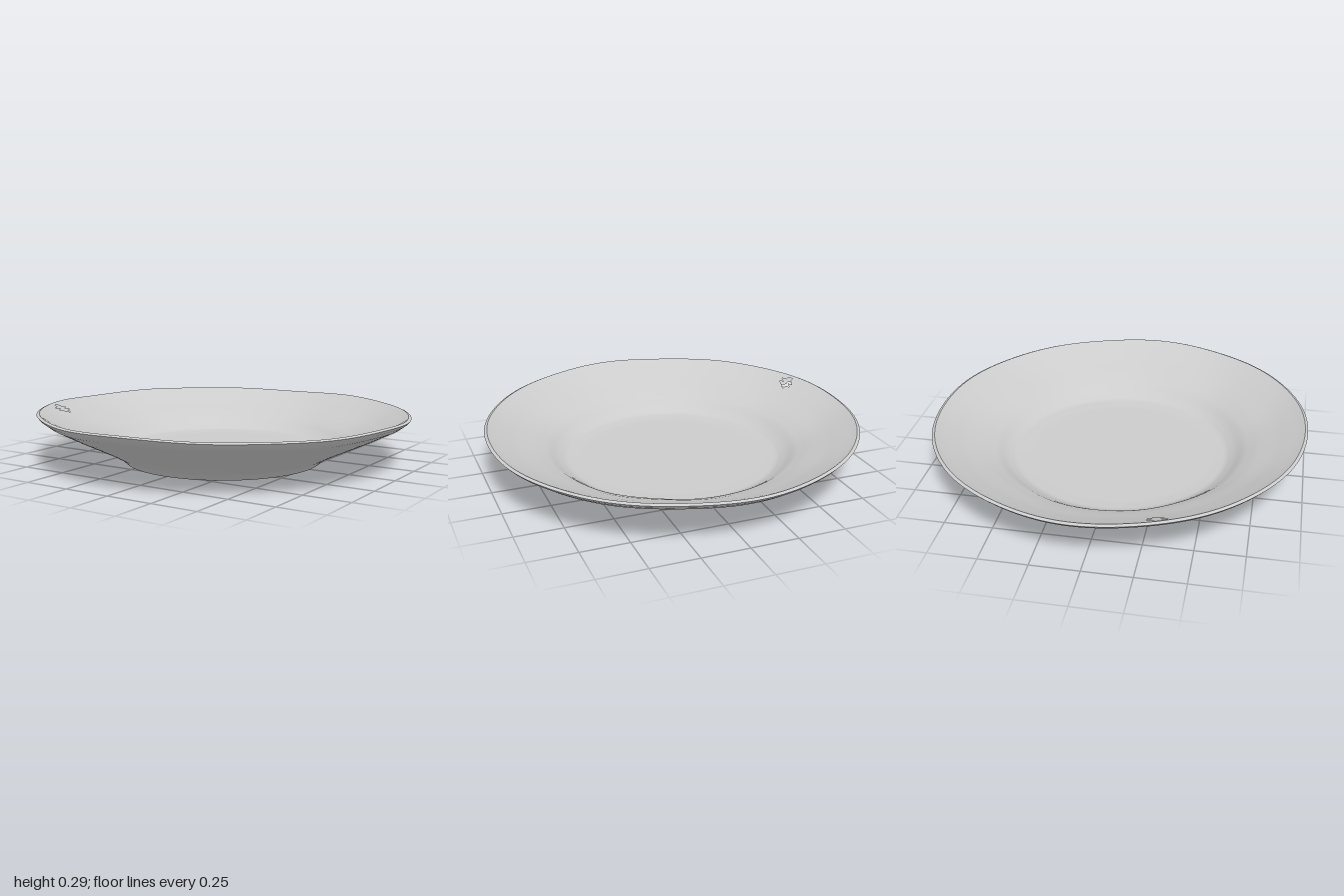
import * as THREE from 'three';
import { toCreasedNormals } from 'three/addons/utils/BufferGeometryUtils.js';

const material = new THREE.MeshStandardMaterial({ color: 0xcccccc, side: THREE.DoubleSide });

// Half section of the dish as [radius, height], from the underside outward,
// over the lip and down to the middle of the floor
const SECTION = [
  [0, 0.03], [0.47, 0.03], [0.505, 0.004], [0.53, 0.004], [0.57, 0.038], [0.64, 0.075],
  [0.83, 0.163], [0.95, 0.222], [0.985, 0.247], [1, 0.264], [0.985, 0.271],
  [0.95, 0.252], [0.84, 0.2], [0.74, 0.159], [0.67, 0.125], [0.62, 0.088], [0.575, 0.064],
  [0.5, 0.058], [0, 0.056],
];

// Split long steps so the surface can be worn and pierced evenly
function refine(section, step) {
  const points = [];
  section.forEach(([r, y], i) => {
    if (i > 0) {
      const [r0, y0] = section[i - 1];
      const n = Math.ceil(Math.hypot(r - r0, y - y0) / step);
      for (let k = 1; k < n; k++) {
        points.push(new THREE.Vector2(r0 + ((r - r0) * k) / n, y0 + ((y - y0) * k) / n));
      }
    }
    points.push(new THREE.Vector2(r, y));
  });
  return points;
}

// Gentle unevenness of a hand-worn dish: leaning rim, foot a little off centre
function wear(geometry) {
  const p = geometry.attributes.position;
  for (let i = 0; i < p.count; i++) {
    const x = p.getX(i), y = p.getY(i), z = p.getZ(i);
    const r = Math.hypot(x, z), a = Math.atan2(z, x);
    const slope = THREE.MathUtils.smoothstep(r, 0.5, 0.75);
    const ripple = 0.003 * Math.sin(5 * a + 1) + 0.002 * Math.sin(9 * a + 7 * r);
    p.setY(i, y + slope * (0.015 * z + ripple));
    p.setZ(i, z + 0.02 * Math.max(0, 1 - r));
  }
}

// Drop the faces inside a small round area, through both skins
function pierce(geometry, cx, cz, radius) {
  const p = geometry.attributes.position, index = geometry.index.array, kept = [];
  for (let i = 0; i < index.length; i += 3) {
    let x = 0, z = 0;
    for (let k = 0; k < 3; k++) {
      x += p.getX(index[i + k]) / 3;
      z += p.getZ(index[i + k]) / 3;
    }
    if (Math.hypot(x - cx, z - cz) > radius) kept.push(index[i], index[i + 1], index[i + 2]);
  }
  geometry.setIndex(kept);
}

export function createModel() {
  const group = new THREE.Group();
  group.name = 'dish';

  // Shallow wide-rimmed plate on a low foot ring
  const geometry = new THREE.LatheGeometry(refine(SECTION, 0.025), 180);
  wear(geometry);
  pierce(geometry, -0.87, 0.335, 0.035);
  const plate = new THREE.Mesh(toCreasedNormals(geometry, 0.6), material);
  plate.name = 'plate';
  group.add(plate);

  return group;
}
